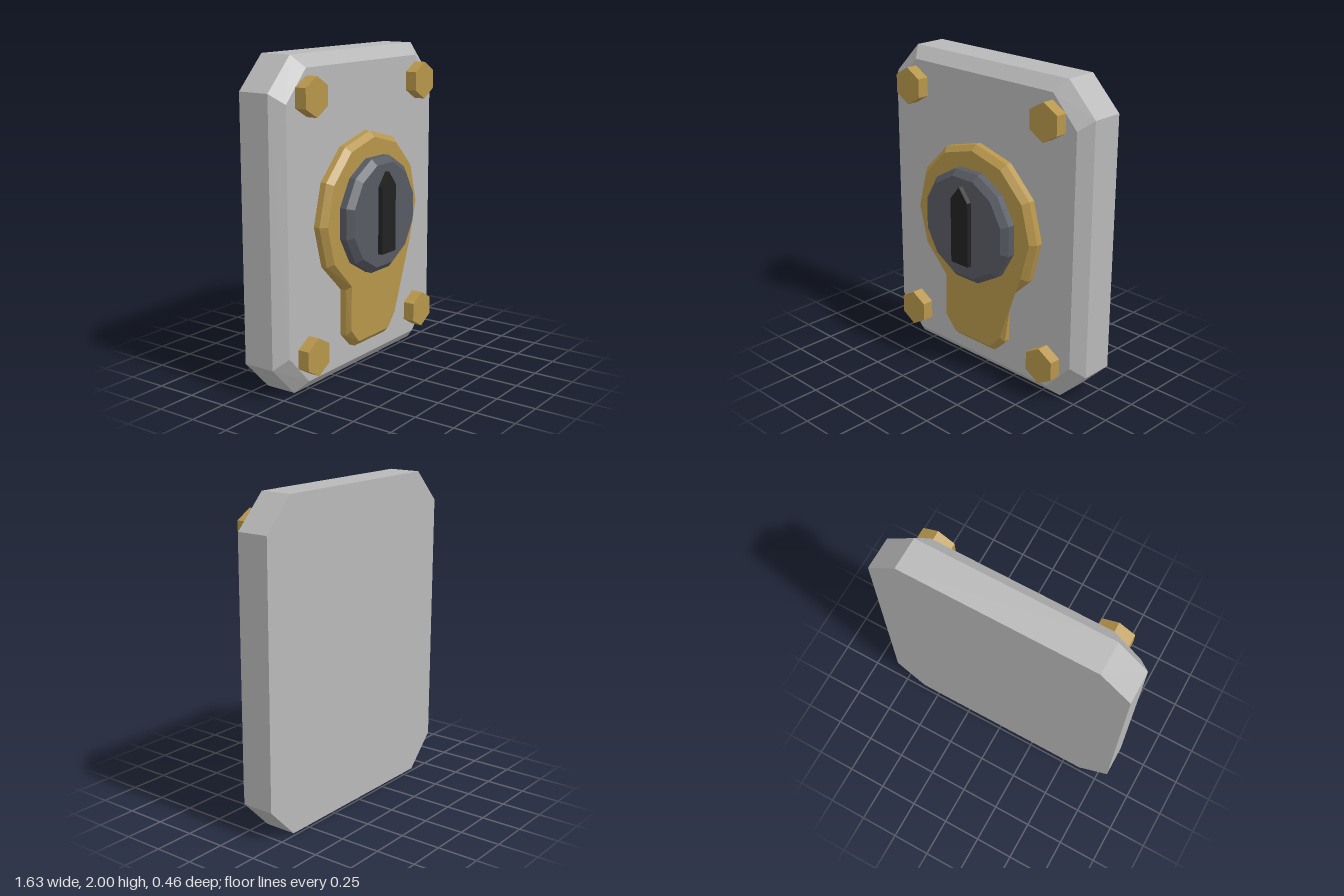
import * as THREE from 'three';

const flat = (name, color) => {
  const m = new THREE.MeshStandardMaterial({ color });
  m.name = name;
  return m;
};

// Joins outlines (counter-clockwise seen from the front) at given depths, capped at both ends.
function loft(name, material, sections) {
  const pos = [];
  const rings = sections.map(([outline, z]) => outline.map(([x, y]) => [x, y, z]));
  const tri = (a, b, c) => pos.push(...a, ...b, ...c);
  for (let s = 0; s < rings.length - 1; s++) {
    const a = rings[s], b = rings[s + 1], n = a.length;
    for (let i = 0; i < n; i++) {
      const j = (i + 1) % n;
      tri(a[i], a[j], b[j]);
      tri(a[i], b[j], b[i]);
    }
  }
  const cap = (ring, front) => {
    const faces = THREE.ShapeUtils.triangulateShape(ring.map(p => new THREE.Vector2(p[0], p[1])), []);
    for (const [i, j, k] of faces) {
      if (front) tri(ring[i], ring[j], ring[k]);
      else tri(ring[i], ring[k], ring[j]);
    }
  };
  cap(rings[0], false);
  cap(rings[rings.length - 1], true);
  const g = new THREE.BufferGeometry();
  g.setAttribute('position', new THREE.Float32BufferAttribute(pos, 3));
  g.computeVertexNormals();
  const mesh = new THREE.Mesh(g, material);
  mesh.name = name;
  return mesh;
}

// Rectangle with cut corners, centred on y = 1
const cutRect = (w, h, cx, cy) => [
  [cx, 1 - h], [w, 1 - cy], [w, 1 + cy], [cx, 1 + h],
  [-cx, 1 + h], [-w, 1 + cy], [-w, 1 - cy], [-cx, 1 - h],
];

const polygon = (sides, r, cx, cy, start) => Array.from({ length: sides }, (_, i) => {
  const a = start + i * 2 * Math.PI / sides;
  return [cx + r * Math.cos(a), cy + r * Math.sin(a)];
});

// Upper arc of the keyhole surround, from lower right to lower left
const arc = r => Array.from({ length: 9 }, (_, i) => {
  const a = (i - 1) * Math.PI / 6;
  return [r * Math.cos(a), 1.002 + r * Math.sin(a)];
});

export function createModel() {
  const steel = flat('steel', 0xb8b8b8);
  const brass = flat('brass', 0xb6954b);
  const darkMetal = flat('dark metal', 0x575a62);
  const black = flat('black', 0x222222);
  const model = new THREE.Group();
  model.name = 'lockPlate';

  // Backing plate with a bevelled front
  const outer = cutRect(0.817, 1, 0.62, 0.8);
  model.add(loft('backPlate', steel, [
    [outer, -0.23], [outer, -0.025], [cutRect(0.745, 0.927, 0.565, 0.737), 0.045],
  ]));

  // Surround: twelve-sided disc running into a tail
  const rim = [...arc(0.507), [-0.25, 0.565], [-0.25, 0.275], [-0.16, 0.185],
    [0.16, 0.185], [0.25, 0.275], [0.25, 0.565]];
  const face = [...arc(0.472), [-0.235, 0.59], [-0.24, 0.31], [-0.16, 0.22],
    [0.16, 0.22], [0.237, 0.312], [0.325, 0.545]];
  model.add(loft('keyholeSurround', brass, [[rim, 0.045], [rim, 0.085], [face, 0.12]]));

  // Lock cylinder
  const step = Math.PI / 12;
  const barrel = polygon(12, 0.365, 0, 1.003, step);
  model.add(loft('lockCylinder', darkMetal, [
    [barrel, 0.12], [barrel, 0.165], [polygon(12, 0.326, 0, 1.003, step), 0.2],
  ]));

  // Raised pointer on the cylinder
  const pointer = [[-0.072, 0.77], [0.072, 0.77], [0.072, 1.185], [0, 1.272], [-0.072, 1.185]];
  model.add(loft('pointer', black, [[pointer, 0.2], [pointer, 0.23]]));

  // Corner bolts
  for (const x of [-0.563, 0.563]) {
    for (const y of [0.239, 1.768]) {
      const hex = polygon(6, 0.117, x, y, Math.PI / 2);
      model.add(loft('cornerBolt', brass, [[hex, 0.045], [hex, 0.12]]));
    }
  }
  return model;
}
